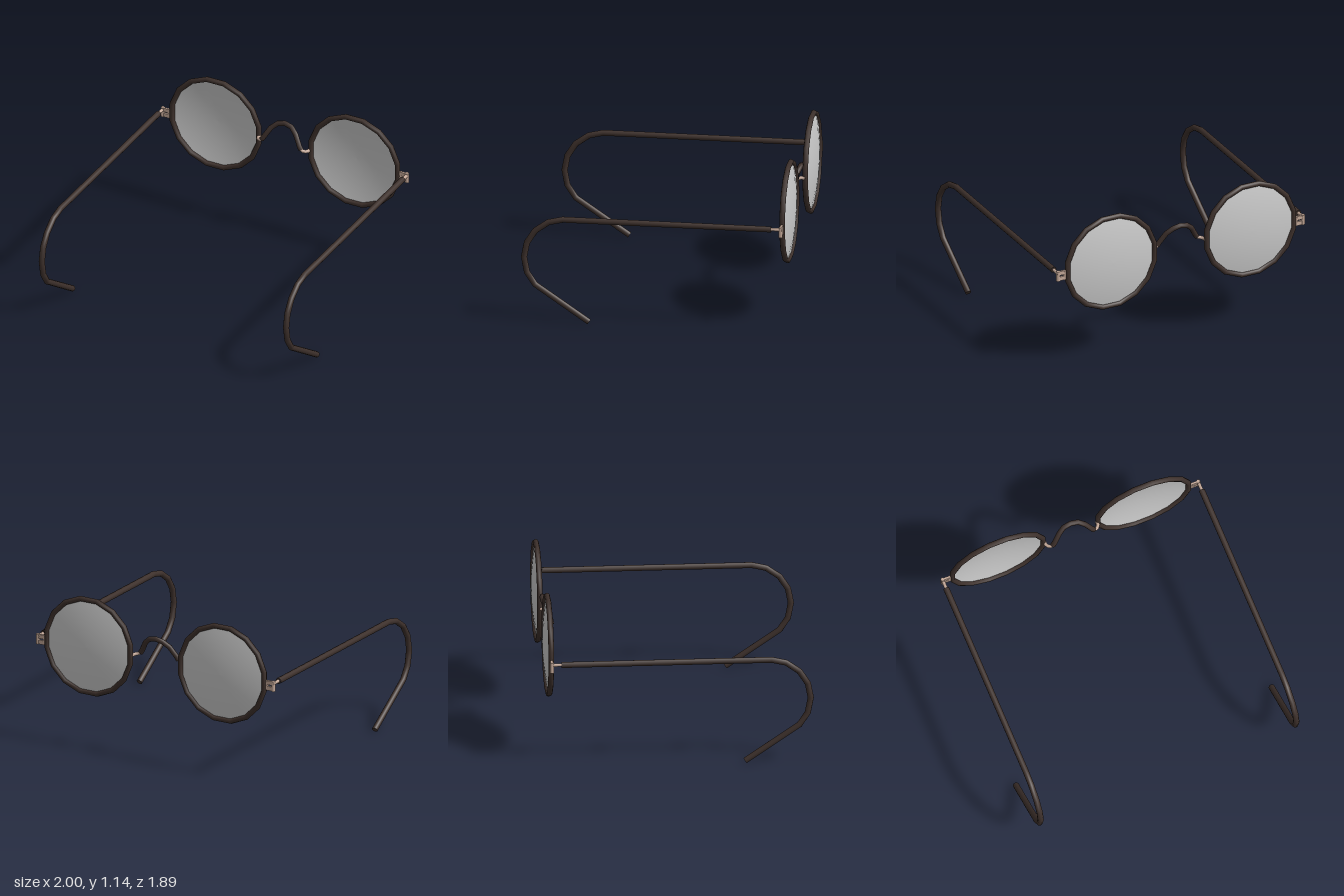
import * as THREE from 'three';

const V = (x, y, z) => new THREE.Vector3(x, y, z);
const horn = new THREE.MeshStandardMaterial({ color: 0x3d302b });
const metal = new THREE.MeshStandardMaterial({ color: 0xc4a898 });
const glass = new THREE.MeshStandardMaterial({ color: 0xcccccc, side: THREE.DoubleSide });

// Straight-segment path with a mitred ring at every point
class Polyline extends THREE.Curve {
  constructor(points) {
    super();
    this.points = points;
  }
  getPoint(t, target = V(0, 0, 0)) {
    const n = this.points.length - 1;
    const i = Math.min(Math.floor(t * n + 1e-6), n - 1);
    return target.lerpVectors(this.points[i], this.points[i + 1], t * n - i);
  }
  getPointAt(u, target) {
    return this.getPoint(u, target);
  }
  getTangentAt(u, target = V(0, 0, 0)) {
    const p = this.points, n = p.length - 1, i = Math.round(u * n);
    target.set(0, 0, 0);
    if (i > 0) target.add(p[i].clone().sub(p[i - 1]).normalize());
    if (i < n) target.add(p[i + 1].clone().sub(p[i]).normalize());
    return target.normalize();
  }
}

function add(parent, name, geometry, material) {
  const mesh = new THREE.Mesh(geometry, material);
  mesh.name = name;
  parent.add(mesh);
  return mesh;
}

// Capped rod along a list of points
function rod(parent, name, points, radius, material) {
  const path = new Polyline(points);
  const group = new THREE.Group();
  group.name = name;
  add(group, name + 'Body', new THREE.TubeGeometry(path, points.length - 1, radius, 10), material);
  for (const end of [0, 1]) {
    const cap = add(group, name + 'Cap', new THREE.CircleGeometry(radius, 10), material);
    const out = path.getTangentAt(end).multiplyScalar(end ? 1 : -1);
    cap.position.copy(path.getPoint(end));
    cap.quaternion.setFromUnitVectors(V(0, 0, 1), out);
  }
  parent.add(group);
}

export function createModel() {
  const model = new THREE.Group();
  model.name = 'spectacles';
  const frontZ = -0.912, armX = 0.977, armY = 0.772;

  // Domed lens profile, bulging away from the wearer
  const dome = [];
  for (let i = 0; i <= 8; i++) {
    const t = 1 - i / 8;
    dome.push(new THREE.Vector2(0.352 * t, 0.037 * (1 - t * t)));
  }

  for (const s of [-1, 1]) {
    const side = s > 0 ? 'left' : 'right';

    // Sixteen-sided rim and its lens
    const rim = add(model, side + 'Rim', new THREE.TorusGeometry(0.352, 0.02, 8, 16), horn);
    rim.position.set(s * 0.555, 0.772, frontZ);
    rim.rotation.z = Math.PI / 16;
    const lens = add(model, side + 'Lens', new THREE.LatheGeometry(dome, 16, Math.PI / 16), glass);
    lens.position.copy(rim.position);
    lens.rotation.x = -Math.PI / 2;

    // Wire joining the bridge to the rim
    rod(model, side + 'BridgeWire', [
      V(s * 0.2, 0.768, frontZ), V(s * 0.2, 0.768, -0.885), V(s * 0.188, 0.77, -0.868),
      V(s * 0.17, 0.774, -0.858), V(s * 0.147, 0.79, -0.858),
    ], 0.013, metal);

    // Hinge: two lugs, a pin with a screw head, and the arm socket
    for (const y of [0.773, 0.731]) {
      const lug = add(model, side + 'HingeLug', new THREE.BoxGeometry(0.075, 0.03, 0.016), metal);
      lug.position.set(s * 0.935, y, frontZ);
    }
    const pin = add(model, side + 'HingePin', new THREE.CylinderGeometry(0.014, 0.014, 0.075, 10), metal);
    pin.position.set(s * armX, 0.752, frontZ);
    const screw = add(model, side + 'HingeScrew', new THREE.CylinderGeometry(0.01, 0.01, 0.055, 8), metal);
    screw.position.set(s * 0.925, 0.752, frontZ);
    rod(model, side + 'ArmSocket', [V(s * armX, armY, -0.922), V(s * armX, armY, -0.83)], 0.012, metal);

    // Arm with its curled ear hook, as [y, z] points
    const arm = [
      [armY, -0.845], [armY, 0.645], [0.748, 0.748], [0.682, 0.842], [0.59, 0.902],
      [0.482, 0.923], [0.37, 0.902], [0.28, 0.843], [0.019, 0.458],
    ];
    rod(model, side + 'Arm', arm.map(([y, z]) => V(s * armX, y, z)), 0.022, horn);
  }

  // Arched bridge, rising and leaning forward at the middle
  const half = [[0.157, 0.782, -0.858], [0.143, 0.805, -0.86], [0.1, 0.877, -0.886], [0.055, 0.915, -0.907]];
  rod(model, 'bridge', [
    ...half.map(([x, y, z]) => V(-x, y, z)),
    V(0, 0.928, -0.912),
    ...half.reverse().map(([x, y, z]) => V(x, y, z)),
  ], 0.019, horn);

  return model;
}
